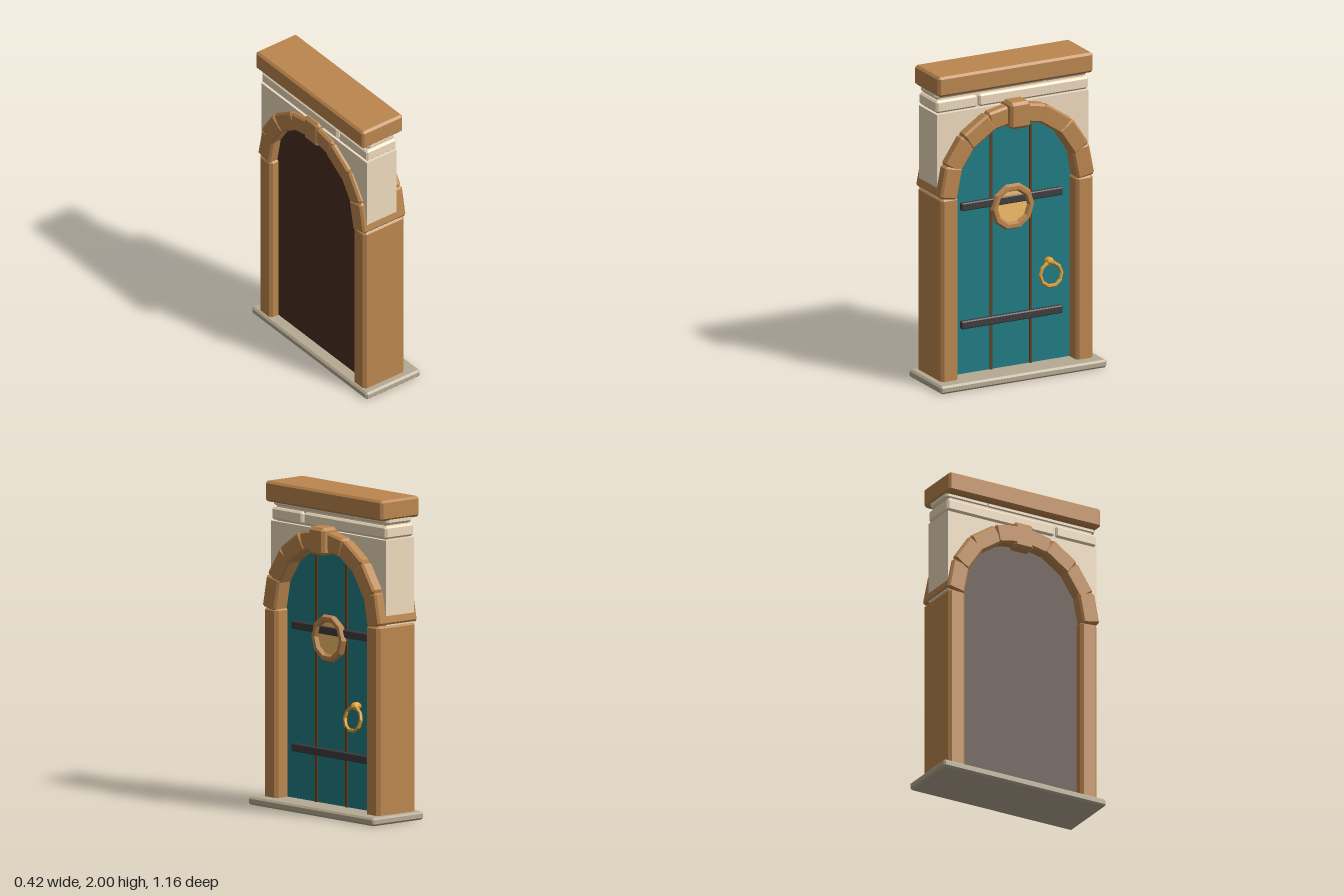
import * as THREE from 'three';
import { ConvexGeometry } from 'three/addons/geometries/ConvexGeometry.js';

const mat = (color) => new THREE.MeshStandardMaterial({ color, flatShading: true });
const WOOD = mat(0xbb864e), PLASTER = mat(0xeedbbe), SILL = mat(0xb6aa93), TEAL = mat(0x207b84),
  DARK = mat(0x4a2f20), GROOVE = mat(0x65401f), IRON = mat(0x3f3c3d), GOLD = mat(0xe0a030), GLASS = mat(0xf4bd6a);

const SPRING = 1.22; // height where the arch begins

// Box with every edge cut by a chamfer b
function chamferBox(w, h, d, b) {
  const pts = [], half = [w / 2, h / 2, d / 2];
  for (let axis = 0; axis < 3; axis++)
    for (const sx of [-1, 1]) for (const sy of [-1, 1]) for (const sz of [-1, 1]) {
      const p = [sx, sy, sz].map((s, i) => s * (half[i] - (i === axis ? 0 : b)));
      pts.push(new THREE.Vector3(...p));
    }
  return new ConvexGeometry(pts);
}

// Rectangle with a half-round top, bottom at y0
function archOutline(r, y0) {
  const s = new THREE.Shape();
  s.moveTo(-r, y0);
  s.lineTo(r, y0);
  s.lineTo(r, SPRING);
  s.absarc(0, SPRING, r, 0, Math.PI, false);
  s.closePath();
  return s;
}

export function createModel() {
  // Built facing +z, then turned to face +x
  const door = new THREE.Group();
  door.name = 'archedDoorway';

  const add = (name, geometry, material, x = 0, y = 0, z = 0) => {
    const m = new THREE.Mesh(geometry, material);
    m.name = name;
    m.position.set(x, y, z);
    door.add(m);
    return m;
  };
  // Chamfered block given by its limits
  const block = (name, material, [x0, x1], [y0, y1], [z0, z1], b) =>
    add(name, chamferBox(x1 - x0, y1 - y0, z1 - z0, b), material, (x0 + x1) / 2, (y0 + y1) / 2, (z0 + z1) / 2);
  const slab = (name, shape, material, z0, z1) =>
    add(name, new THREE.ExtrudeGeometry(shape, { depth: z1 - z0, bevelEnabled: false, curveSegments: 24 }), material, 0, 0, z0);

  block('sill', SILL, [-0.578, 0.578], [0, 0.05], [-0.21, 0.208], 0.012);

  // Frame posts
  for (const s of [-1, 1]) {
    block(s < 0 ? 'leftPost' : 'rightPost', WOOD, [s * 0.47 - 0.06, s * 0.47 + 0.06], [0.02, 1.225], [-0.19, 0.125], 0.018);
  }

  // Arch blocks, alternating slightly in depth
  for (let i = 0; i < 8; i++) {
    const a = (i + 0.5) * Math.PI / 8;
    const depth = i % 2 ? 0.33 : 0.32;
    const stone = add('archBlock', chamferBox(0.12, 0.205, depth, 0.013), WOOD,
      0.47 * Math.cos(a), SPRING + 0.005 + 0.47 * Math.sin(a), -0.035);
    stone.rotation.z = a;
  }
  block('keystone', WOOD, [-0.07, 0.07], [1.61, 1.78], [-0.2, 0.168], 0.018);

  // Plaster wall above the arch
  const wall = new THREE.Shape();
  wall.moveTo(-0.529, SPRING);
  wall.lineTo(-0.45, SPRING);
  wall.absarc(0, SPRING, 0.45, Math.PI, 0, true);
  wall.lineTo(0.529, SPRING);
  wall.lineTo(0.529, 1.75);
  wall.lineTo(-0.529, 1.75);
  wall.closePath();
  slab('wall', wall, PLASTER, -0.17, 0.06);

  // Two stone courses under the lintel
  block('lowerCourseLong', PLASTER, [-0.233, 0.53], [1.757, 1.835], [-0.17, 0.06], 0.012);
  block('lowerCourseShort', PLASTER, [-0.53, -0.245], [1.757, 1.835], [-0.17, 0.06], 0.012);
  block('upperCourseLong', PLASTER, [-0.53, 0.243], [1.843, 1.9], [-0.157, 0.047], 0.014);
  block('upperCourseShort', PLASTER, [0.227, 0.53], [1.843, 1.9], [-0.157, 0.047], 0.014);
  block('courseCore', PLASTER, [-0.51, 0.51], [1.74, 1.89], [-0.15, 0.035], 0.005);
  block('lintel', WOOD, [-0.54, 0.54], [1.873, 2], [-0.21, 0.105], 0.014);

  // Door leaf and dark back
  slab('doorLeaf', archOutline(0.43, 0.02), TEAL, -0.05, 0.03);
  slab('backPanel', archOutline(0.43, 0.02), DARK, -0.13, -0.05);

  // Plank seams and iron straps
  for (const x of [-0.138, 0.138]) add('plankSeam', new THREE.BoxGeometry(0.016, 1.54, 0.016), GROOVE, x, 0.81, 0.032);
  for (const y of [0.367, 1.126]) block('strap', IRON, [-0.352, 0.352], [y - 0.025, y + 0.025], [0.02, 0.058], 0.006);

  // Round window
  const glass = add('windowGlass', new THREE.CylinderGeometry(0.108, 0.108, 0.03, 20), GLASS, 0, 1.082, 0.036);
  glass.rotation.x = Math.PI / 2;
  add('windowRing', new THREE.TorusGeometry(0.127, 0.025, 6, 10), WOOD, 0, 1.082, 0.055);

  // Ring handle
  const ring = add('handleRing', new THREE.TorusGeometry(0.074, 0.012, 6, 10), GOLD, 0.253, 0.615, 0.085);
  ring.rotation.x = -0.15;
  const knob = add('handleKnob', new THREE.SphereGeometry(0.03, 8, 6), GOLD, 0.253, 0.693, 0.06);
  knob.scale.set(1, 0.85, 1.3);

  door.rotation.y = Math.PI / 2;
  const model = new THREE.Group();
  model.name = 'doorway';
  model.add(door);
  return model;
}
